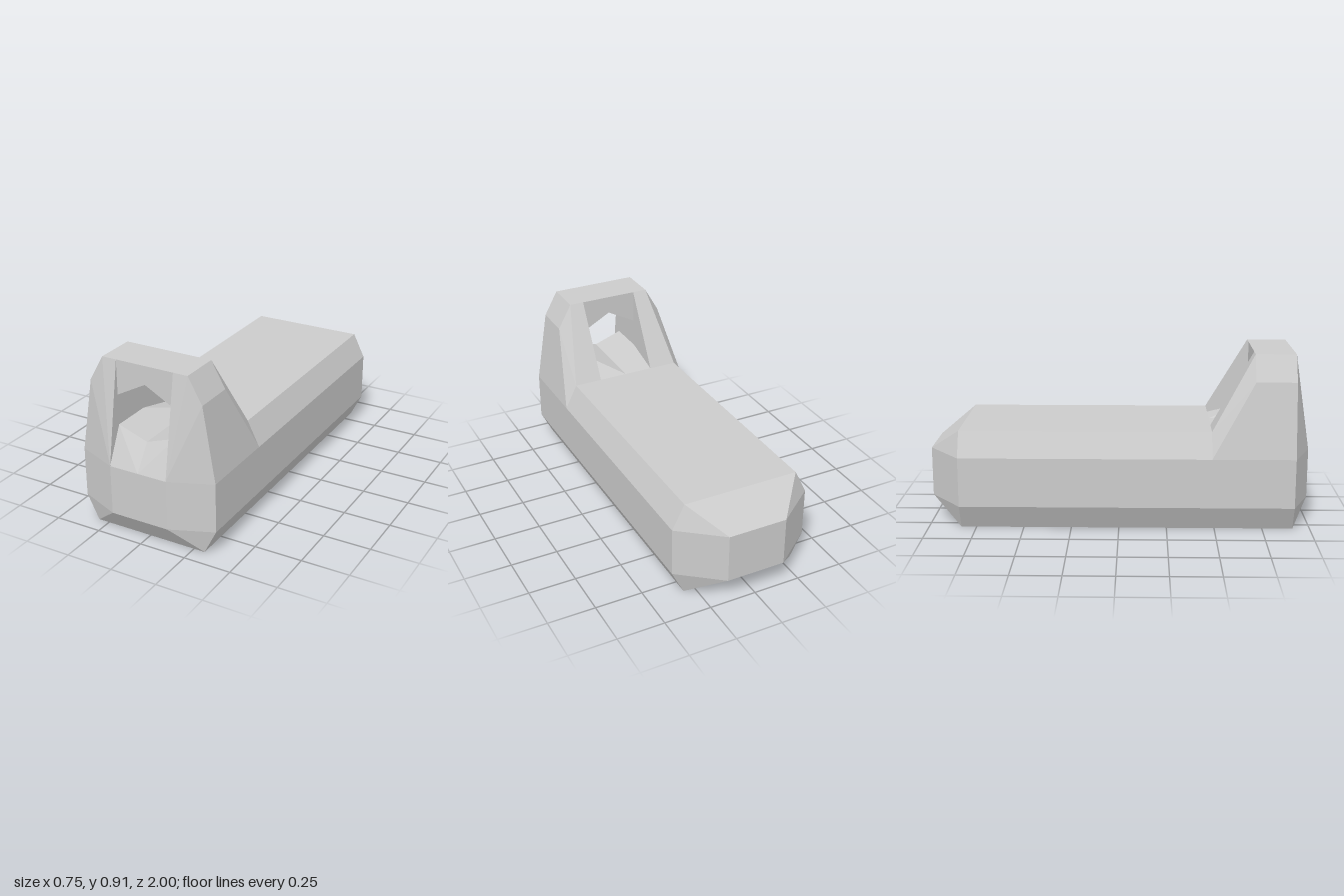
import * as THREE from 'three';
import { ConvexGeometry } from 'three/addons/geometries/ConvexGeometry.js';

const material = new THREE.MeshStandardMaterial({ color: 0xcccccc, flatShading: true });

const vec = ([x, y, z]) => new THREE.Vector3(x, y, z);
const mirrored = (points) => points.map(([x, y, z]) => [-x, y, z]);

function addMesh(group, name, geometry) {
  const mesh = new THREE.Mesh(geometry, material);
  mesh.name = name;
  group.add(mesh);
}

// Convex faceted solid from its corner points
function addSolid(group, name, points) {
  addMesh(group, name, new ConvexGeometry(points.map(vec)));
}

export function createModel() {
  const group = new THREE.Group();
  group.name = 'model';

  const back = -0.83, front = 0.91;      // ends of the straight body
  const slopeFoot = 0.48, barBack = 0.70; // rear slope of the raised arch
  const inner = 0.157, top = 0.913;       // half width of the opening, arch height

  // Long body: octagonal section tapering to a small panel at both ends
  const section = [[0.31, 0], [0.375, 0.13], [0.375, 0.39], [0.31, 0.52]];
  const panel = [[inner, 0.13], [inner, 0.39]];
  const half = [
    ...[back, front].flatMap((z) => section.map(([x, y]) => [x, y, z])),
    ...[-1, 1].flatMap((z) => panel.map(([x, y]) => [x, y, z])),
  ];
  addSolid(group, 'body', [...half, ...mirrored(half)]);

  // Arch post: leaning front, chamfered shoulder and sloping rear
  const post = [
    [inner, 0.39, 1], [0.375, 0.39, front],
    ...[front, barBack].flatMap((z) => [[0.31, 0.78, z], [0.235, top, z], [inner, top, z]]),
    [inner, 0.52, slopeFoot], [0.31, 0.52, slopeFoot],
    [0.375, 0.39, slopeFoot], [inner, 0.39, slopeFoot],
  ];
  addSolid(group, 'leftPost', post);
  addSolid(group, 'rightPost', mirrored(post));

  // V-shaped tunnel floor, falling away towards the front and rear
  const floor = [
    [0, 0.39, 1], [inner, 0.39, 1],
    ...[front, barBack].flatMap((z) => [[0, 0.52, z], [inner, 0.575, z]]),
    [0, 0.52, slopeFoot], [inner, 0.52, slopeFoot],
    [0, 0.39, slopeFoot], [inner, 0.39, slopeFoot],
  ];
  addSolid(group, 'leftFloor', floor);
  addSolid(group, 'rightFloor', mirrored(floor));

  // Crossbar with a peaked underside closing the hexagonal opening
  const bar = new THREE.Shape([
    [-inner, 0.732], [0, 0.817], [inner, 0.732], [inner, top], [-inner, top],
  ].map(([x, y]) => new THREE.Vector2(x, y)));
  const barGeometry = new THREE.ExtrudeGeometry(bar, { depth: front - barBack, bevelEnabled: false });
  barGeometry.translate(0, 0, barBack);
  addMesh(group, 'crossbar', barGeometry);

  return group;
}
